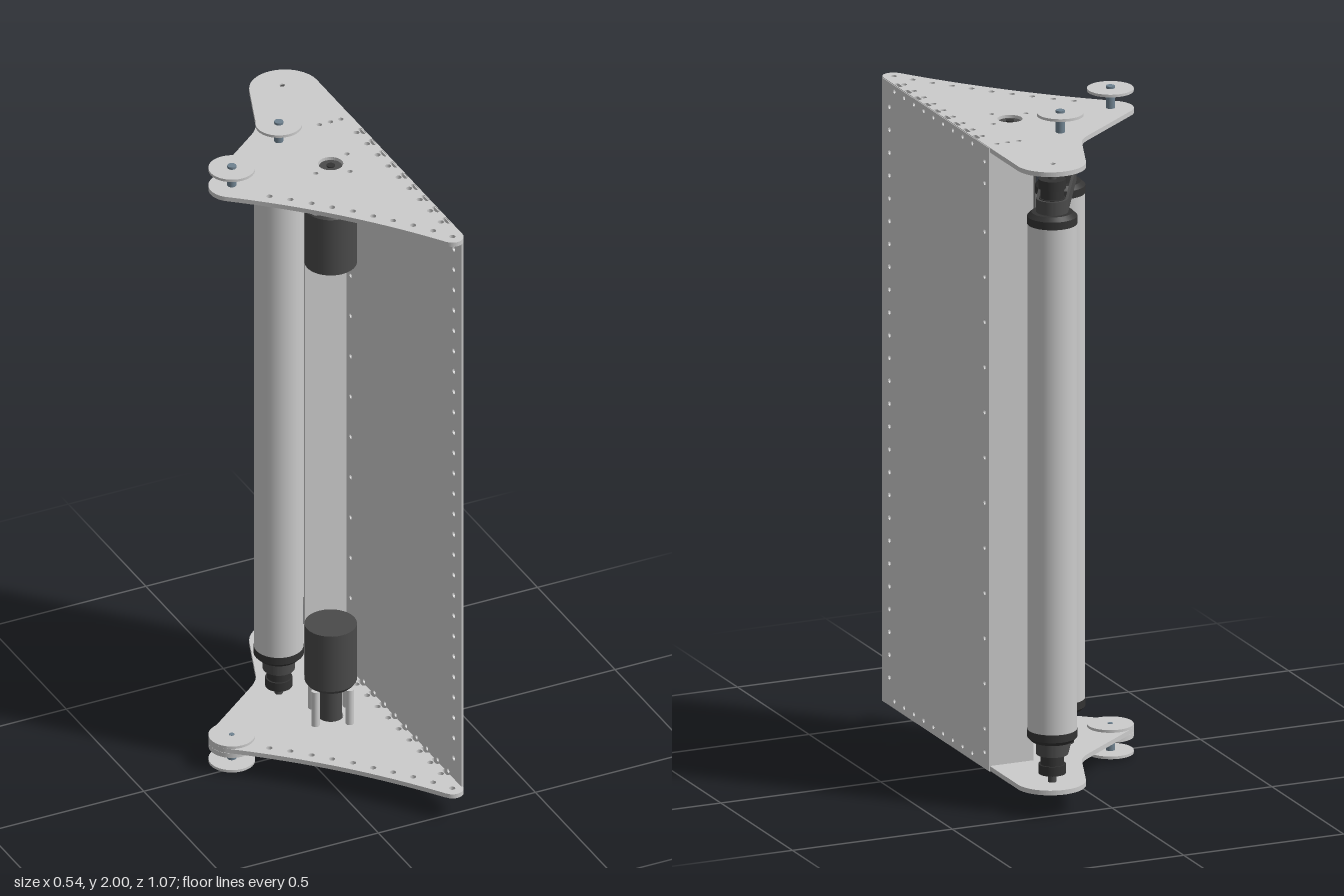
import * as THREE from 'three';

const mat = (color) => new THREE.MeshStandardMaterial({ color, roughness: 0.7 });
const grey = mat(0xcccccc), dark = mat(0x4a4a4a), black = mat(0x333333), steel = mat(0x6f8290);

const MOTOR = [0.1, -0.01];
const ROLLERS = [[0.165, -0.45], [0.022, -0.187]];
const KNOBS = [[-0.205, -0.03], [0.022, -0.187]];
const STANDOFFS = [[0.165, -0.037], [0.038, 0.018], [0.13, 0.052], [0.072, -0.072]];

function add(parent, name, geometry, material) {
  const mesh = new THREE.Mesh(geometry, material);
  mesh.name = name;
  parent.add(mesh);
  return mesh;
}

// vertical cylinder between two heights, given in either order
function post(parent, name, [x, z], y0, y1, r, material, rTop = r) {
  const up = y1 > y0;
  const g = new THREE.CylinderGeometry(up ? rTop : r, up ? r : rTop, Math.abs(y1 - y0), 32);
  g.translate(x, (y0 + y1) / 2, z);
  return add(parent, name, g, material);
}

function hole(shape, u, v, r) {
  shape.holes.push(new THREE.Path().absarc(u, v, r, 0, Math.PI * 2, true));
}

// end plate, drawn with shape y = -z and extruded upward
function plateGeometry() {
  const rad = THREE.MathUtils.degToRad;
  const s = new THREE.Shape();
  s.moveTo(0.267, -0.5);
  s.lineTo(0.267, 0.437);
  s.absarc(0.165, 0.437, 0.102, 0, rad(157), false);
  s.lineTo(0.005, 0.3);
  s.quadraticCurveTo(-0.008, 0.272, -0.035, 0.25);
  s.absarc(-0.205, 0.03, 0.067, rad(129), rad(228), false);
  s.quadraticCurveTo(0.012, -0.232, 0.207, -0.519);
  s.absarc(0.235, -0.502, 0.032, rad(210), rad(360), false);

  // holes along the curved edge
  const curved = [[-0.136, 0.072], [-0.09, 0.114], [-0.045, 0.16], [-0.002, 0.205], [0.042, 0.25],
    [0.082, 0.3], [0.122, 0.347], [0.162, 0.395], [0.2, 0.447], [0.235, 0.5]];
  curved.forEach(([x, z]) => hole(s, x, -z, 0.009));
  // holes and slots along the straight edge
  for (let i = 0; i < 9; i++) {
    const v = 0.13 - i * 0.068;
    hole(s, 0.241, v, 0.009);
    const slot = new THREE.Path();
    slot.absarc(0.259, v + 0.011, 0.0065, 0, Math.PI, false);
    slot.absarc(0.259, v - 0.011, 0.0065, Math.PI, Math.PI * 2, false);
    s.holes.push(slot);
  }
  [0.165, 0.2, 0.233].forEach((x) => hole(s, x, 0.215, 0.008));
  STANDOFFS.slice(0, 3).forEach(([x, z]) => hole(s, x, -z, 0.008));
  hole(s, 0.165, 0.455, 0.008);
  hole(s, MOTOR[0], -MOTOR[1], 0.036);
  const g = new THREE.ExtrudeGeometry(s, { depth: 0.014, bevelEnabled: false, curveSegments: 20 });
  return g.rotateX(-Math.PI / 2);
}

// side panel, drawn with shape x = -z and extruded toward +x
function panelGeometry() {
  const s = new THREE.Shape();
  s.moveTo(-0.505, 0.07);
  s.lineTo(0.242, 0.07);
  s.lineTo(0.242, 1.932);
  s.lineTo(-0.505, 1.932);
  s.closePath();
  for (let i = 0; i < 26; i++) hole(s, -0.455, 0.155 + i * 0.0682, 0.008);
  for (let i = 0; i < 9; i++) [0.093, 1.915].forEach((y) => hole(s, -0.42 + i * 0.068, y, 0.007));
  for (let i = 0; i < 11; i++) hole(s, 0.21, 0.325 + i * 0.135, 0.007);
  [0.12, 0.19, 1.82, 1.885].forEach((y) => hole(s, 0.21, y, 0.007));
  const g = new THREE.ExtrudeGeometry(s, { depth: 0.007, bevelEnabled: false, curveSegments: 6 });
  return g.rotateY(Math.PI / 2).translate(0.262, 0, 0);
}

// closed belt around the two roller pulleys
function beltGeometry() {
  const [a, b] = ROLLERS.map(([x, z]) => new THREE.Vector2(x, -z));
  const angle = Math.atan2(b.y - a.y, b.x - a.x), h = Math.PI / 2;
  const loop = (path, r) => {
    path.absarc(b.x, b.y, r, angle - h, angle + h, false);
    path.absarc(a.x, a.y, r, angle + h, angle + 3 * h, false);
    path.closePath();
    return path;
  };
  const s = loop(new THREE.Shape(), 0.046);
  s.holes.push(loop(new THREE.Path(), 0.038));
  const g = new THREE.ExtrudeGeometry(s, { depth: 0.04, bevelEnabled: false, curveSegments: 20 });
  return g.rotateX(-Math.PI / 2).translate(0, -0.02, 0);
}

export function createModel() {
  const model = new THREE.Group();

  // side panel with its folded rear flange
  add(model, 'sidePanel', panelGeometry(), grey);
  const flange = add(model, 'panelFlange', new THREE.BoxGeometry(0.134, 1.84, 0.006), grey);
  flange.position.set(0.197, 1.0, -0.239);

  // end plates
  const plate = plateGeometry();
  add(model, 'topPlate', plate, grey).position.y = 1.92;
  add(model, 'bottomPlate', plate, grey).position.y = 0.072;

  // roller tubes
  ROLLERS.forEach((p) => post(model, 'rollerTube', p, 0.24, 1.76, 0.071, grey));

  // drive parts repeated at both ends; heights are measured from the middle
  const belt = beltGeometry();
  for (const side of [1, -1]) {
    const end = new THREE.Group();
    end.name = side > 0 ? 'topDrive' : 'bottomDrive';
    model.add(end);
    const y = (d) => 1 + side * d;
    for (const p of ROLLERS) {
      post(end, 'rollerCap', p, y(0.755), y(0.778), 0.072, black);
      post(end, 'capBevel', p, y(0.778), y(0.79), 0.072, black, 0.06);
      post(end, 'pulley', p, y(0.79), y(0.832), 0.038, black);
      post(end, 'pulleyCollar', p, y(0.832), y(0.86), 0.034, black);
      post(end, 'bearing', p, y(0.86), y(0.888), 0.039, black);
      post(end, 'rollerShaft', p, y(0.888), y(0.93), 0.012, dark);
    }
    add(end, 'driveBelt', belt, dark).position.y = y(0.81);

    // motor, its hub and standoffs
    post(end, 'motorBody', MOTOR, y(0.605), y(0.79), 0.075, dark);
    post(end, 'motorRim', MOTOR, y(0.79), y(0.802), 0.075, dark, 0.066);
    post(end, 'motorHub', MOTOR, y(0.8), y(0.926), 0.033, dark);
    post(end, 'hubTip', MOTOR, y(0.926), y(0.93), 0.012, black);
    STANDOFFS.forEach((p) => post(end, 'motorStandoff', p, y(0.8), y(0.92), 0.012, grey));

    // knob discs on bolts
    for (const p of KNOBS) {
      post(end, 'knobBolt', p, y(0.905), y(0.998), 0.008, steel);
      post(end, 'knobSpacer', p, y(0.934), y(0.985), 0.013, steel);
      post(end, 'knobDisc', p, y(0.985), y(0.993), 0.067, grey);
      post(end, 'boltHead', p, y(0.993), y(1.0), 0.013, steel);
    }
  }

  // extra washers clamped on the bottom plate
  KNOBS.forEach((p) => post(model, 'lowerWasher', p, 0.056, 0.071, 0.067, grey));
  post(model, 'upperWasher', KNOBS[0], 0.086, 0.094, 0.067, grey);

  return model;
}
